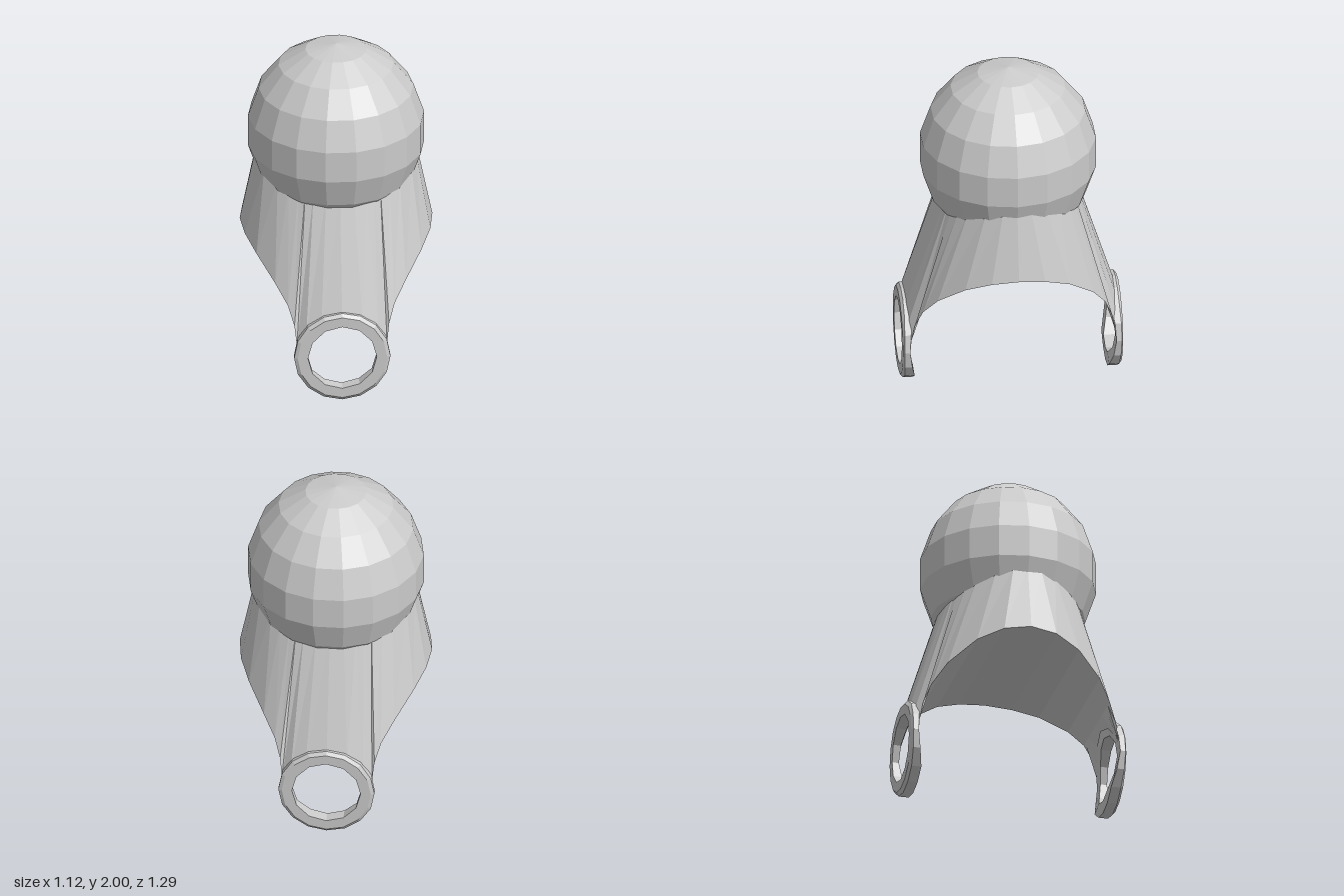
import * as THREE from 'three';

const material = new THREE.MeshStandardMaterial({ color: 0xcccccc, flatShading: true });

// Half depth of the elliptical arch that is cut through the body along x
const arch = (y) => 0.6 * Math.sqrt(Math.max(0, 1 - ((y - 0.3) / 0.58) ** 2));

// Half of the body (front side): outer skirt plus underside of the arch
function bodyHalfGeometry() {
  // Lower rim from the side to the middle: neck angle in degrees, x, y
  const rim = [
    [0, 0.56, 0.88], [12, 0.54, 0.86], [26, 0.48, 0.8], [42, 0.38, 0.68], [52, 0.31, 0.57],
    [60, 0.275, 0.46], [65, 0.262, 0.34], [71, 0.21, 0.4], [80, 0.12, 0.488], [90, 0, 0.522],
  ];
  const flat = 4; // rim point from which the arch narrows into the lug
  const half = rim.map(([deg, x, y], k) => {
    const a = THREE.MathUtils.degToRad(deg);
    const low = new THREE.Vector3(x, y, k > 6 ? 0.622 : arch(y));
    const neck = new THREE.Vector3(0.48 * Math.cos(a), 1.16 + 0.11 * Math.cos(a) ** 2, 0.42 * Math.sin(a));
    return {
      low,
      top: neck.lerp(low, -0.08), // runs slightly into the ball
      inner: new THREE.Vector3(x, y, arch(y)),
      lintel: new THREE.Vector3(x, rim[flat][2], arch(rim[flat][2])),
    };
  });
  const flip = (v) => new THREE.Vector3(-v.x, v.y, v.z);
  const mirrored = half.slice(0, -1).reverse().map((c) => ({
    low: flip(c.low), top: flip(c.top), inner: flip(c.inner), lintel: flip(c.lintel),
  }));
  const cols = [...half, ...mirrored];
  const last = cols.length - 1;

  const points = [];
  const quad = (a, b, c, d) => points.push(a, b, c, a, c, d);
  for (let i = 0; i < last; i++) {
    const a = cols[i], b = cols[i + 1];
    quad(a.top, b.top, b.low, a.low);
    if (i < flat) quad(a.inner, b.inner, cols[last - i - 1].inner, cols[last - i].inner);
    else if (i < last - flat) quad(a.lintel, a.inner, b.inner, b.lintel);
  }
  const geometry = new THREE.BufferGeometry().setFromPoints(points);
  geometry.computeVertexNormals();
  return geometry;
}

// Ring lug: chamfered outside, plain hole, back face following the arch
function ringGeometry() {
  const R = 0.28, hole = 0.2, depth = 0.03, bevel = 0.012;
  const circle = (r, n) => Array.from({ length: n }, (_, i) => {
    const a = (i / n) * Math.PI * 2;
    return new THREE.Vector2(r * Math.cos(a), r * Math.sin(a));
  });
  const shape = new THREE.Shape(circle(R, 16));
  shape.holes.push(new THREE.Path(circle(hole, 12)));
  const geometry = new THREE.ExtrudeGeometry(shape, {
    depth, bevelEnabled: true, bevelSegments: 1, bevelSize: 0.02, bevelOffset: -0.02, bevelThickness: bevel,
  });
  const p = geometry.attributes.position;
  for (let i = 0; i < p.count; i++) {
    let x = p.getX(i), y = p.getY(i);
    const r = Math.hypot(x, y);
    const target = r < 0.235 ? hole : p.getZ(i) < 0.001 ? R : r;
    x *= target / r;
    y = y * target / r + R;
    const back = Math.max(arch(y), 0.565) + 0.003;
    const t = (p.getZ(i) + bevel) / (depth + 2 * bevel);
    p.setXYZ(i, x, y, back + t * (0.643 - back));
  }
  geometry.computeVertexNormals();
  return geometry;
}

export function createModel() {
  const model = new THREE.Group();
  model.name = 'ballMount';
  const add = (name, geometry, turn = 0) => {
    const mesh = new THREE.Mesh(geometry, material);
    mesh.name = name;
    mesh.rotation.y = turn;
    model.add(mesh);
    return mesh;
  };

  // Ball head
  const ball = add('ball', new THREE.SphereGeometry(1, 18, 9));
  ball.scale.set(0.52, 0.55, 0.52);
  ball.position.y = 1.45;

  // Arched body and ring lugs, front and back
  const body = bodyHalfGeometry();
  const ring = ringGeometry();
  [['front', 0], ['back', Math.PI]].forEach(([side, turn]) => {
    add(side + 'Body', body, turn);
    add(side + 'Ring', ring, turn);
  });
  return model;
}
